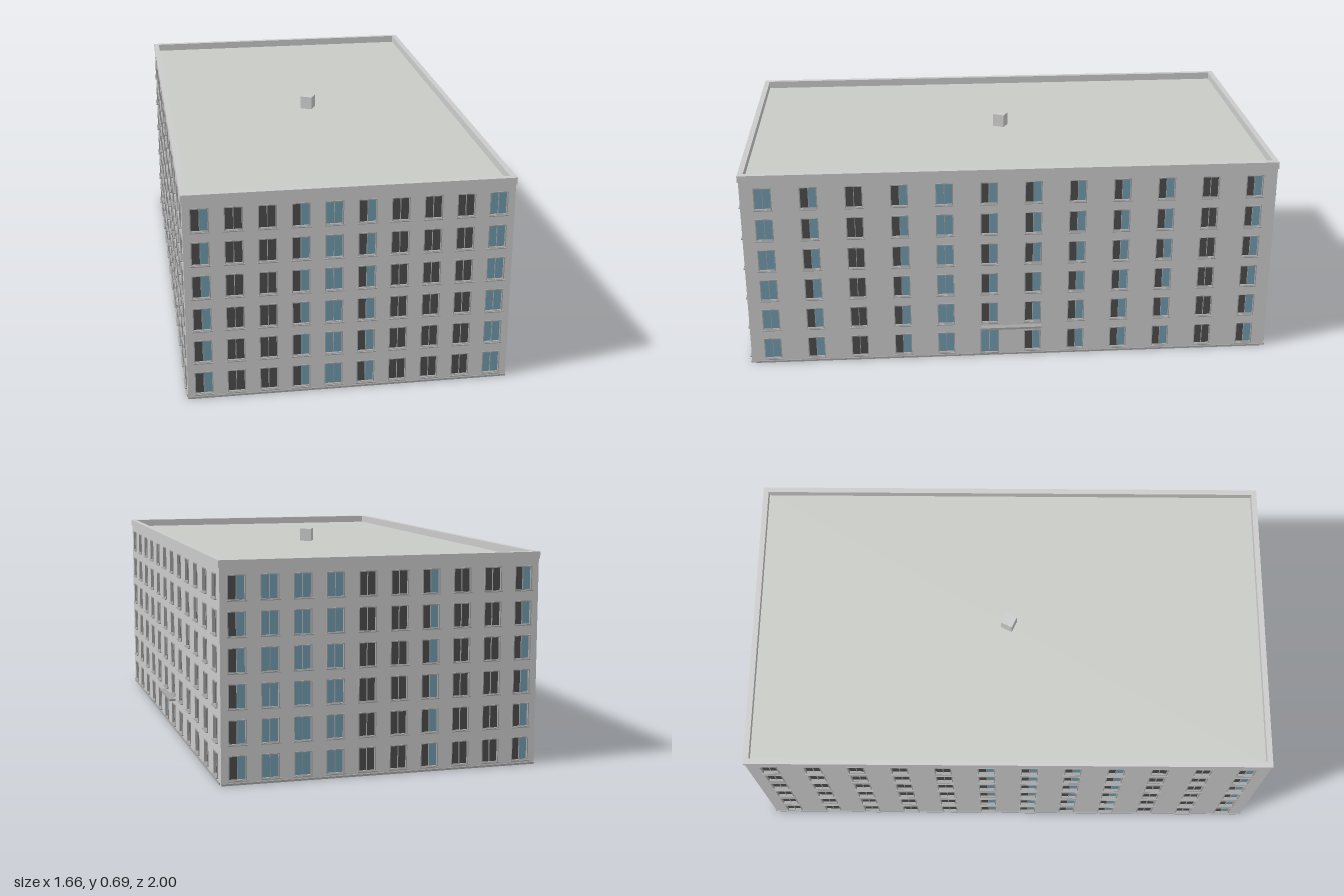
import * as THREE from 'three';
import { mergeGeometries } from 'three/addons/utils/BufferGeometryUtils.js';

const W = 1.0, L = 1.726, WALL_H = 0.65, T = 0.014;
const FLOORS = 6, FLOOR_H = 0.107, WIN_W = 0.056, WIN_H = 0.076;

const mat = (color) => new THREE.MeshStandardMaterial({ color });
const wallMat = mat(0xcccccc), roofMat = mat(0xc9ccc6), frameMat = mat(0xa4a4a4);
const glassMat = mat(0x6f9aac), darkMat = mat(0x4c4c4c);

const box = (w, h, d, x, y, z) => new THREE.BoxGeometry(w, h, d).translate(x, y, z);

function mesh(name, geometry, material) {
  const m = new THREE.Mesh(geometry, material);
  m.name = name;
  return m;
}

function rect(Type, w, h, x, y) {
  const p = new Type();
  p.moveTo(x - w / 2, y - h / 2);
  p.lineTo(x + w / 2, y - h / 2);
  p.lineTo(x + w / 2, y + h / 2);
  p.lineTo(x - w / 2, y + h / 2);
  p.closePath();
  return p;
}

// One facade in its own xy plane, facing +z.
// Code per column: g = all glass, h = half glass, d = dark blind.
function facade(name, length, wallLength, code, doorColumn = -1) {
  const group = new THREE.Group();
  group.name = name;
  const wall = rect(THREE.Shape, wallLength, WALL_H, 0, WALL_H / 2);
  const glass = [], dark = [], frames = [];

  [...code].forEach((kind, c) => {
    const x = ((c + 0.5) / code.length - 0.5) * length;
    for (let f = 0; f < FLOORS; f++) {
      const door = f === 0 && c === doorColumn;
      const w = door ? 0.062 : WIN_W, h = door ? 0.092 : WIN_H;
      const y = door ? 0.052 : 0.051 + f * FLOOR_H;
      wall.holes.push(rect(THREE.Path, w, h, x, y));

      // two panes over a dark backing
      dark.push(box(w, h, 0.002, x, y, -T + 0.001));
      [-1, 1].forEach((s) => {
        const lit = door || kind === 'g' || (kind === 'h' && s === 1);
        (lit ? glass : dark).push(box(w / 2, h, 0.002, x + s * w / 4, y, -0.007));
      });

      // frame, centre bar and sill
      const b = 0.003;
      [-1, 1].forEach((s) => {
        frames.push(box(b, h, 0.009, x + s * (w / 2 - b / 2), y, -0.002));
        frames.push(box(w, b, 0.009, x, y + s * (h / 2 - b / 2), -0.002));
      });
      frames.push(box(0.002, h, 0.005, x, y, -0.005));
      if (!door) frames.push(box(w + 0.006, 0.003, 0.012, x, y - h / 2, 0.001));
    }
  });

  const wallGeo = new THREE.ExtrudeGeometry(wall, { depth: T, bevelEnabled: false });
  group.add(
    mesh('wall', wallGeo.translate(0, 0, -T), wallMat),
    mesh('windowGlass', mergeGeometries(glass), glassMat),
    mesh('windowBlinds', mergeGeometries(dark), darkMat),
    mesh('windowFrames', mergeGeometries(frames), frameMat),
    mesh('plinth', box(wallLength, 0.006, 0.004, 0, 0.003, 0.001), frameMat),
  );
  return group;
}

// Rectangular ring lying flat, from y0 upward
function ring(outW, outL, inW, inL, height, y0) {
  const s = rect(THREE.Shape, outW, outL, 0, 0);
  s.holes.push(rect(THREE.Path, inW, inL, 0, 0));
  const g = new THREE.ExtrudeGeometry(s, { depth: height, bevelEnabled: false });
  return g.rotateX(-Math.PI / 2).translate(0, y0, 0);
}

export function createModel() {
  const model = new THREE.Group();
  model.name = 'apartmentBlock';
  const building = new THREE.Group();
  building.name = 'building';
  building.rotation.y = THREE.MathUtils.degToRad(26);
  model.add(building);

  // four facades
  const sides = [
    ['frontFacade', W, W, 'hddhghdddg', 0, L / 2],
    ['leftFacade', L, L - 2 * T, 'ghdhghhhhhdh', Math.PI / 2, W / 2, 5],
    ['backFacade', W, W, 'hgggddhddh', Math.PI, L / 2],
    ['rightFacade', L, L - 2 * T, 'dddddhhhhddh', -Math.PI / 2, W / 2],
  ];
  sides.forEach(([name, length, wallLength, code, angle, dist, door]) => {
    const f = facade(name, length, wallLength, code, door);
    f.rotation.y = angle;
    f.position.set(Math.sin(angle) * dist, 0, Math.cos(angle) * dist);
    building.add(f);
    // entrance canopy above the door
    if (door !== undefined) {
      f.add(mesh('entranceCanopy', box(0.2, 0.007, 0.02, 0, 0.106, 0.01), frameMat));
    }
  });

  // roof deck and parapet
  building.add(
    mesh('roof', box(W - 0.02, 0.01, L - 0.02, 0, 0.637, 0), roofMat),
    mesh('parapet', ring(W + 0.006, L + 0.006, W - 0.03, L - 0.03, 0.022, 0.645), wallMat),
    mesh('parapetInnerWall', ring(W - 0.002, L - 0.002, W - 0.03, L - 0.03, 0.01, 0.636), wallMat),
  );

  // small roof vent, square to the model axes
  model.add(mesh('roofVent', box(0.04, 0.045, 0.04, 0, 0.6625, 0), wallMat));
  return model;
}
